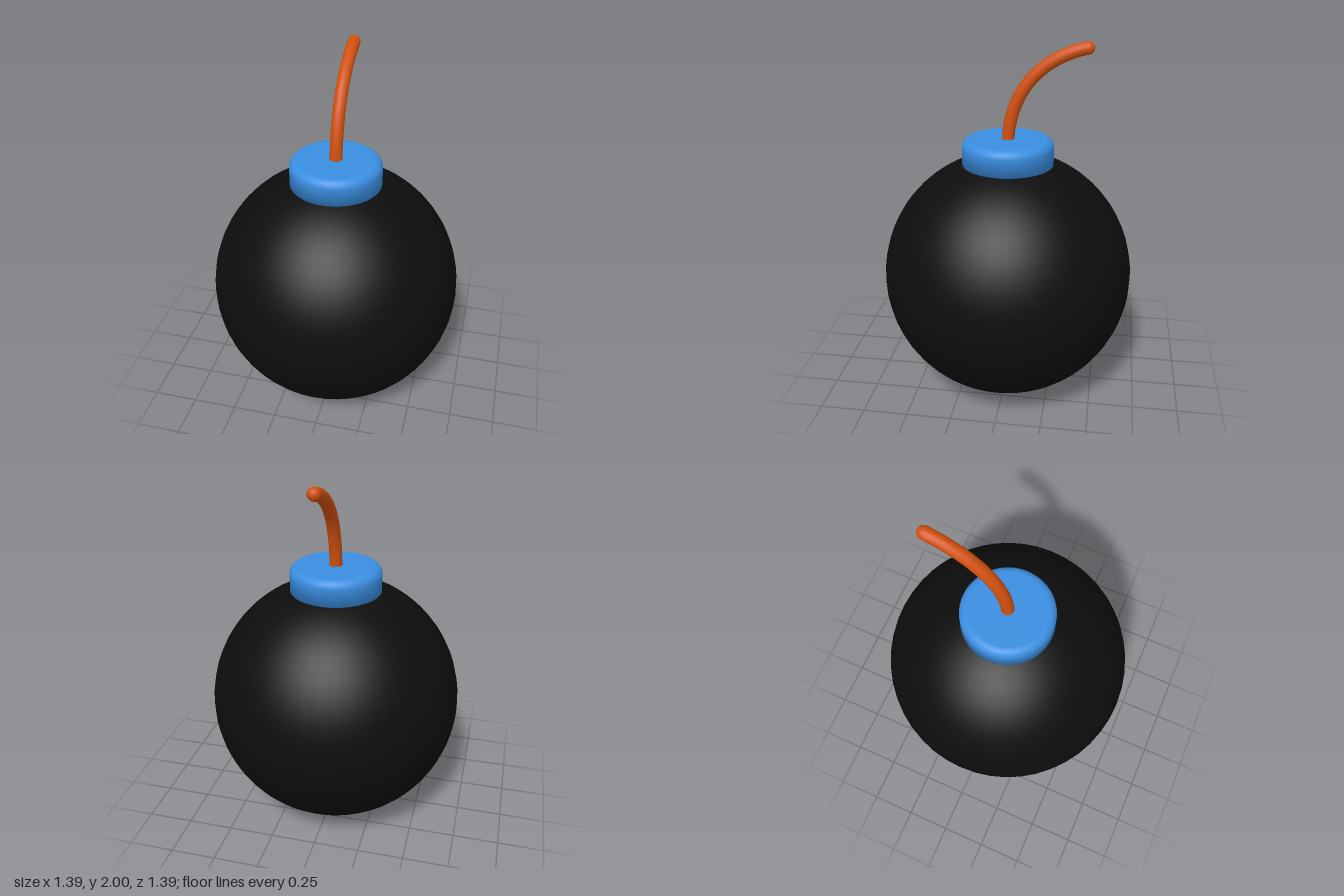
import * as THREE from 'three';

const V = (y, z) => new THREE.Vector3(0, y, z);

export function createModel() {
  const model = new THREE.Group();
  const add = (name, geometry, color, parent = model) => {
    const mesh = new THREE.Mesh(geometry, new THREE.MeshStandardMaterial({ color }));
    mesh.name = name;
    parent.add(mesh);
    return mesh;
  };

  // Round body
  const R = 0.693;
  add('body', new THREE.SphereGeometry(R, 48, 32), 0x0d0d0d).position.y = R;

  // Collar with a rounded top edge, sunk into the body
  const capR = 0.247, capTop = 1.479, bevel = 0.045;
  const profile = [new THREE.Vector2(0, 1.32), new THREE.Vector2(capR, 1.32)];
  for (let i = 0; i <= 6; i++) {
    const a = (i / 6) * Math.PI / 2;
    profile.push(new THREE.Vector2(
      capR - bevel + bevel * Math.cos(a), capTop - bevel + bevel * Math.sin(a)));
  }
  profile.push(new THREE.Vector2(0, capTop));
  add('collar', new THREE.LatheGeometry(profile, 48), 0x3a8ee0);

  // Fuse curving backwards, with a rounded tip
  const fuse = new THREE.Group();
  fuse.name = 'fuse';
  model.add(fuse);
  const fuseR = 0.034, end = V(1.966, -0.406);
  const path = new THREE.CubicBezierCurve3(V(1.44, 0), V(1.72, 0), V(1.91, -0.16), end);
  add('fuseCord', new THREE.TubeGeometry(path, 32, fuseR, 16), 0xd2500f, fuse);
  add('fuseTip', new THREE.SphereGeometry(fuseR, 16, 12), 0xd2500f, fuse).position.copy(end);

  return model;
}
